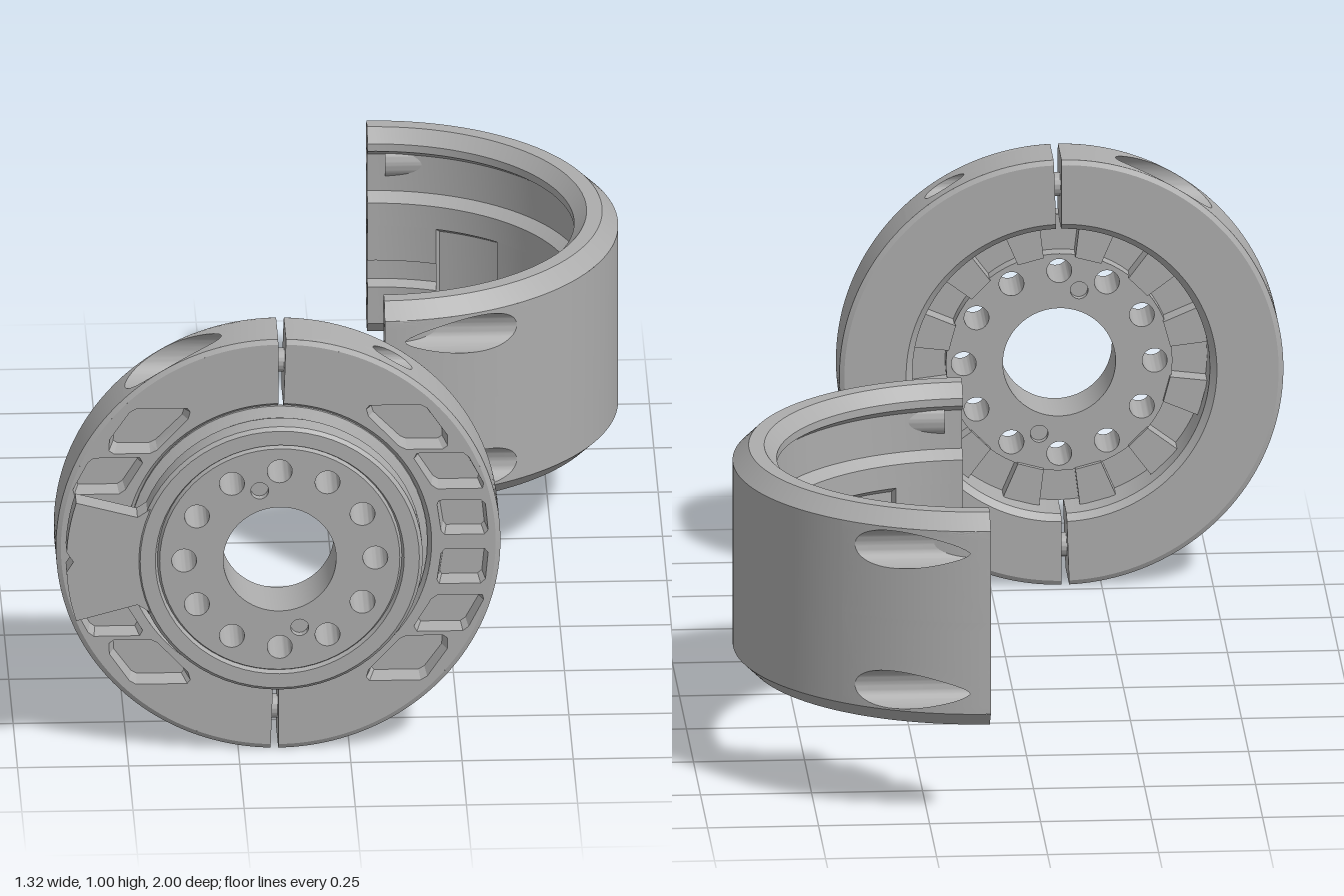
import * as THREE from 'three';
import { toCreasedNormals } from 'three/addons/utils/BufferGeometryUtils.js';

const metal = new THREE.MeshStandardMaterial({ color: 0xacacac, side: THREE.DoubleSide });
metal.name = 'grey metal';
const PI = Math.PI, D = PI / 180;

function add(group, name, geo) {
  const mesh = new THREE.Mesh(toCreasedNormals(geo, 0.35), metal);
  mesh.name = name;
  group.add(mesh);
  return mesh;
}

// surface from f(u, v) -> [x, y, z], with u and v in 0..1
function grid(nu, nv, f) {
  const pos = [], idx = [];
  for (let j = 0; j <= nv; j++) for (let i = 0; i <= nu; i++) pos.push(...f(i / nu, j / nv));
  for (let j = 0; j < nv; j++) for (let i = 0; i < nu; i++) {
    const a = j * (nu + 1) + i, b = a + nu + 1;
    idx.push(a, a + 1, b, a + 1, b + 1, b);
  }
  const g = new THREE.BufferGeometry();
  g.setAttribute('position', new THREE.Float32BufferAttribute(pos, 3));
  g.setIndex(idx);
  g.computeVertexNormals();
  return g;
}

const polygon = pts => new THREE.Shape(pts.map(p => new THREE.Vector2(...p)));
const circle = (x, y, r) => new THREE.Path().absarc(x, y, r, 0, 2 * PI, true);
const lathe = (pts, seg, start = 0, len = 2 * PI) =>
  new THREE.LatheGeometry(pts.map(p => new THREE.Vector2(...p)), seg, start, len);

// Cylinder wall patch pierced by a bore along x, with the bore, its seat and the bolt hole.
// Local axes: x along the bore, t across, h along the cylinder axis; map places them.
function boredWall(group, o, map) {
  const { R, t0, t1, h0, h1, t, h, r, seat, hole } = o;
  const angle = a => Math.asin((t + r * Math.cos(a)) / R);
  add(group, 'boredWall', grid(64, 6, (u, v) => {
    const a = u * 2 * PI, c = Math.cos(a), s = Math.sin(a), m = Math.max(Math.abs(c), Math.abs(s));
    const th = THREE.MathUtils.lerp(angle(a), t0 + (t1 - t0) * (0.5 + c / m / 2), v);
    const hh = THREE.MathUtils.lerp(h + r * s, h0 + (h1 - h0) * (0.5 + s / m / 2), v);
    return map(R * Math.cos(th), R * Math.sin(th), hh);
  }));
  const ring = (x, rad, a) => map(x, t + rad * Math.cos(a), h + rad * Math.sin(a));
  add(group, 'counterbore', grid(64, 1, (u, v) => {
    const a = u * 2 * PI;
    return ring(v ? R * Math.cos(angle(a)) : seat, r, a);
  }));
  if (seat > 0) {
    add(group, 'boltSeat', grid(40, 1, (u, v) => ring(seat, v ? r : hole, u * 2 * PI)));
    add(group, 'boltHole', grid(24, 1, (u, v) => ring(v ? seat : 0, hole, u * 2 * PI)));
  }
}

// Half of the split clamp ring, axis along z
function clampHalf() {
  const g = new THREE.Group();
  const R = 0.5, RIM = 0.489, IN = 0.345, FACE = 0.915, BOLT = 0.424, map = (x, t, h) => [x, t, h];
  const turned = pts => lathe(pts, 89, 0, 178 * D).rotateX(PI / 2);
  add(g, 'outerChamfer', turned([[RIM, FACE], [R, 0.909]]));
  add(g, 'ringBody', turned([[R, 0.786], [RIM, 0.78], [0.35, 0.78], [0.335, 0.795], [0.335, 0.9], [IN, FACE]]));
  add(g, 'ringWall', grid(46, 1, (u, v) => {
    const a = (-46 + 92 * u) * D;
    return [R * Math.cos(a), R * Math.sin(a), 0.786 + 0.123 * v];
  }));
  const wall = { R, h0: 0.786, h1: 0.909, h: 0.8475, hole: 0.027 };
  boredWall(g, { ...wall, t0: -90 * D, t1: -46 * D, t: -BOLT, r: 0.06, seat: 0.11 }, map);
  boredWall(g, { ...wall, t0: 46 * D, t1: 88 * D, t: BOLT, r: 0.027, seat: 0 }, map);

  // front face with sloped pockets
  const face = new THREE.Shape();
  face.absarc(0, 0, RIM, -90 * D, 88 * D, false);
  face.absarc(0, 0, IN, 88 * D, -90 * D, true);
  const pockets = [
    [[0.205, 0.337], [0.32, 0.337], [0.335, 0.328], [0.38, 0.262], [0.381, 0.236], [0.37, 0.228], [0.288, 0.228], [0.272, 0.236], [0.203, 0.31], [0.198, 0.328]],
    [[0.312, 0.218], [0.415, 0.218], [0.428, 0.208], [0.462, 0.142], [0.459, 0.13], [0.358, 0.13], [0.344, 0.14], [0.305, 0.205]],
    [[0.362, 0.102], [0.455, 0.102], [0.466, 0.092], [0.472, 0.028], [0.464, 0.018], [0.374, 0.018], [0.366, 0.028], [0.357, 0.092]],
  ];
  for (const base of pockets) for (const side of [1, -1]) {
    const pts = base.map(([x, y]) => [x, y * side]), n = pts.length;
    const cx = pts.reduce((s, p) => s + p[0], 0) / n, cy = pts.reduce((s, p) => s + p[1], 0) / n;
    const inset = pts.map(([x, y]) => [cx + (x - cx) * 0.87, cy + (y - cy) * 0.82]);
    face.holes.push(polygon(pts));
    add(g, 'pocketWall', grid(n, 1, (u, v) => {
      const i = Math.round(u * n) % n;
      return v ? [...inset[i], FACE - 0.04] : [...pts[i], FACE];
    }));
    add(g, 'pocketFloor', new THREE.ShapeGeometry(polygon(inset)).translate(0, 0, FACE - 0.04));
  }
  add(g, 'frontFace', new THREE.ShapeGeometry(face, 60).translate(0, 0, FACE));

  // faces at the split, drilled for the bolt
  const section = polygon([[0.335, 0.795], [0.35, 0.78], [RIM, 0.78], [R, 0.786], [R, 0.909], [RIM, FACE], [IN, FACE], [0.335, 0.9]]);
  section.holes.push(circle(BOLT, 0.8475, 0.027));
  for (const a of [-90 * D, 88 * D])
    add(g, 'splitFace', new THREE.ShapeGeometry(section).rotateX(PI / 2).rotateZ(a));
  return g;
}

// Drilled hub with raised rim, rear teeth and side tab
function hub() {
  const g = new THREE.Group();
  const plate = new THREE.Shape().absarc(0, 0, 0.255, 0, 2 * PI, false);
  plate.holes.push(circle(0, 0, 0.127));
  for (let i = 0; i < 12; i++) {
    const a = i * PI / 6;
    plate.holes.push(circle(0.215 * Math.cos(a), 0.215 * Math.sin(a), 0.028));
  }
  for (const s of [1, -1]) {
    plate.holes.push(circle(0.045 * s, -0.168 * s, 0.02));
    add(g, 'dowel', new THREE.CylinderGeometry(0.02, 0.02, 0.1, 20).rotateX(PI / 2)).position.set(0.045 * s, -0.168 * s, 0.93);
  }
  add(g, 'hubPlate', new THREE.ExtrudeGeometry(plate, { depth: 0.135, bevelEnabled: false, curveSegments: 32 })).position.z = 0.863;
  add(g, 'hubRim', lathe([[0.25, 0.998], [0.27, 0.998], [0.275, 0.988], [0.28, 1], [0.314, 1], [0.322, 0.992], [0.322, 0.942],
    [0.312, 0.936], [0.312, 0.918], [0.336, 0.908], [0.336, 0.9], [0.25, 0.9]], 64).rotateX(PI / 2));
  // teeth between the plate and the clamp ring
  for (let i = 0; i < 12; i++) {
    const tooth = polygon([[0.25, -0.03], [0.334, -0.042], [0.334, 0.042], [0.25, 0.03]]);
    add(g, 'tooth', new THREE.ExtrudeGeometry(tooth, { depth: 0.055, bevelEnabled: false }).translate(0, 0, 0.85)
      .rotateZ((i + 0.5) * PI / 6));
  }
  const edge = [];
  for (let i = 0; i <= 12; i++) {
    const a = (162.5 + 35 * i / 12) * D, r = i === 6 ? 0.464 : 0.48;
    edge.push([r * Math.cos(a), r * Math.sin(a)]);
  }
  const tab = polygon([[-0.285, 0.13], [-0.32, 0.107], ...edge, [-0.32, -0.107], [-0.285, -0.13]]);
  add(g, 'sideTab', new THREE.ExtrudeGeometry(tab, { depth: 0.055, bevelEnabled: false }).translate(0, 0, 0.942));
  return g;
}

// Half-round band, axis along y
function halfBand() {
  const g = new THREE.Group();
  const R = 0.546, map = (x, t, h) => [x, h, t];
  const upper = [[R, 0.685], [0.51, 0.72], [0.475, 0.72], [0.447, 0.69], [0.447, 0.672], [0.472, 0.655],
    [0.472, 0.565], [0.447, 0.545], [0.447, 0.49]];
  const lower = [[0.447, 0.27], [0.447, 0.25], [0.475, 0.22], [0.51, 0.22], [R, 0.255]];
  add(g, 'upperEdge', lathe(upper, 72, 0, PI));
  add(g, 'lowerEdge', lathe(lower, 72, 0, PI));
  add(g, 'bandWall', grid(42, 1, (u, v) => {
    const a = (-53 + 106 * u) * D;
    return [R * Math.cos(a), 0.255 + 0.43 * v, R * Math.sin(a)];
  }));

  // counterbored bolt holes at both ends
  const notch = [[0.447, 0.405], [0.472, 0.395], [0.472, 0.35], [0.447, 0.34]];
  const wall = { R, r: 0.044, seat: 0.04, hole: 0.027 };
  for (const s of [1, -1]) {
    const side = (x, t, h) => map(x, t * s, h);
    boredWall(g, { ...wall, t0: 53 * D, t1: 90 * D, t: 0.5, h0: 0.255, h1: 0.47, h: 0.303 }, side);
    boredWall(g, { ...wall, t0: 53 * D, t1: 90 * D, t: 0.5, h0: 0.47, h1: 0.685, h: 0.633 }, side);
    const cap = polygon([...upper, ...notch, ...lower]);
    for (const [y, r] of [[0.303, 0.027], [0.47, 0.02], [0.633, 0.027]]) cap.holes.push(circle(0.5, y, r));
    add(g, 'endFace', new THREE.ShapeGeometry(cap).rotateY(-s * PI / 2));
    add(g, 'dowelHole', new THREE.CylinderGeometry(0.02, 0.02, 0.05, 20, 1, true).rotateZ(PI / 2)).position.set(0.025, 0.47, 0.498 * s);
    add(g, 'dowelHoleFloor', new THREE.CircleGeometry(0.02, 20).rotateY(-PI / 2)).position.set(0.05, 0.47, 0.498 * s);
  }

  // inner wall: notched at both ends, with shallow pockets between
  const top = [0.447, 0.49], bottom = [0.447, 0.27];
  const recess = [top, [0.472, 0.475], [0.472, 0.285], bottom];
  for (let i = 0; i < 9; i++) {
    const a = i * 20 * D, cut = i % 2 ? recess : i % 8 ? null : notch;
    add(g, 'innerWall', lathe([top, ...(cut ?? []), bottom], 8, a, 20 * D));
    if (cut) for (const b of [a, a + 20 * D])
      if (b > 0.01 && b < PI - 0.01) add(g, 'recessSide', new THREE.ShapeGeometry(polygon(cut)).rotateY(b - PI / 2));
  }
  return g;
}

export function createModel() {
  const model = new THREE.Group();
  const place = (part, name, x, y, z) => {
    part.name = name;
    part.position.set(x, y, z);
    model.add(part);
    return part;
  };
  place(clampHalf(), 'leftClampHalf', -0.16, 0.5, 0);
  place(clampHalf(), 'rightClampHalf', -0.16, 0.5, 0).rotation.z = PI;
  place(hub(), 'hub', -0.16, 0.5, 0);
  place(halfBand(), 'halfBand', 0.112, 0, -0.454);
  return model;
}
